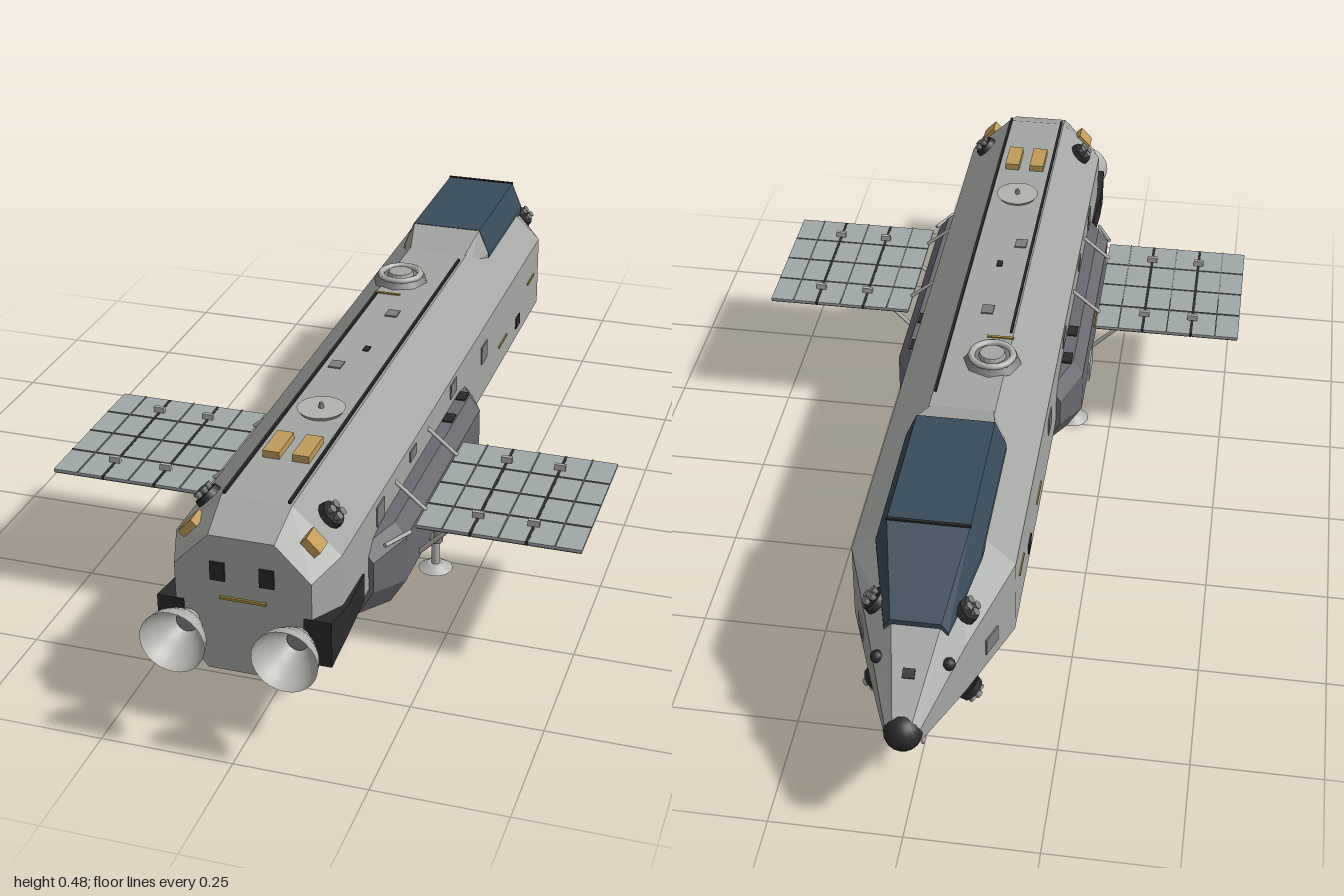
import * as THREE from 'three';

const mat = (name, color, extra = {}) => {
  const m = new THREE.MeshStandardMaterial({ color, ...extra });
  m.name = name;
  return m;
};

export function createModel() {
  const hullGrey = mat('hull grey', 0xa3a6a2, { flatShading: true });
  const bellyDark = mat('belly dark grey', 0x56575a, { flatShading: true });
  const podGrey = mat('pod grey', 0x6a6970, { flatShading: true });
  const glass = mat('canopy blue', 0x394b5a, { flatShading: true });
  const gold = mat('gold foil', 0xc09a58);
  const black = mat('black', 0x2a2a2b);
  const metal = mat('light metal', 0xb2b3ae, { side: THREE.DoubleSide });
  const panelGrey = mat('panel grey', 0x7b7d7d);
  const solar = mat('solar grey', 0xa0a8a8);
  const yellow = mat('yellow marking', 0xa88f35);

  const root = new THREE.Group();
  root.name = 'spacecraft';

  const add = (name, geo, material, pos = [0, 0, 0], rot = [0, 0, 0], parent = root) => {
    const m = new THREE.Mesh(geo, material);
    m.name = name;
    m.position.set(...pos);
    m.rotation.set(...rot);
    parent.add(m);
    return m;
  };
  const box = (name, size, material, pos, rot, parent) =>
    add(name, new THREE.BoxGeometry(...size), material, pos, rot, parent);
  const cyl = (name, r1, r2, h, n, material, pos, rot, parent) =>
    add(name, new THREE.CylinderGeometry(r1, r2, h, n), material, pos, rot, parent);
  const rod = (name, a, b, r, material, parent = root) => {
    const p = new THREE.Vector3(...a), d = new THREE.Vector3(...b).sub(p);
    const m = cyl(name, r, r, d.length(), 8, material, p.clone().addScaledVector(d, 0.5).toArray(), [0, 0, 0], parent);
    m.quaternion.setFromUnitVectors(new THREE.Vector3(0, 1, 0), d.normalize());
    return m;
  };

  // Skin over rings { z, p: [[x, y], ...] }, counter-clockwise, running from +z to -z
  const loft = (name, rings, materials, side = () => 0) => {
    const n = rings[0].p.length, buckets = materials.map(() => []);
    const v = (i, j) => [...rings[i].p[j % n], rings[i].z];
    for (let i = 0; i < rings.length - 1; i++) {
      for (let j = 0; j < n; j++) {
        const a = v(i, j), b = v(i, j + 1), c = v(i + 1, j + 1), d = v(i + 1, j);
        buckets[side(j)].push(...a, ...d, ...c, ...a, ...c, ...b);
      }
    }
    const e = rings.length - 1;
    for (let j = 1; j < n - 1; j++) {
      buckets[0].push(...v(0, 0), ...v(0, j), ...v(0, j + 1));
      buckets[0].push(...v(e, 0), ...v(e, j + 1), ...v(e, j));
    }
    const geo = new THREE.BufferGeometry();
    geo.setAttribute('position', new THREE.Float32BufferAttribute(buckets.flat(), 3));
    let start = 0;
    buckets.forEach((b, i) => { geo.addGroup(start, b.length / 3, i); start += b.length / 3; });
    geo.computeVertexNormals();
    return add(name, geo, materials);
  };
  const mirrorRing = (z, half) => ({ z, p: [...half, ...half.map(([x, y]) => [-x, y]).reverse()] });

  // Hull: eight-sided sections [z, half width, top half, bottom half, top, shoulder, lower, bottom]
  const hullRings = [
    [0.92, 0.125, 0.06, 0.07, 0.412, 0.345, 0.205, 0.14],
    [0.84, 0.153, 0.065, 0.08, 0.445, 0.36, 0.2, 0.125],
    [-0.64, 0.153, 0.065, 0.08, 0.445, 0.36, 0.2, 0.125],
    [-0.82, 0.087, 0.045, 0.05, 0.362, 0.315, 0.205, 0.143],
    [-0.97, 0.032, 0.018, 0.018, 0.27, 0.255, 0.225, 0.21],
  ].map(([z, w, t, b, yt, ys, yl, yb]) => mirrorRing(z, [[b, yb], [w, yl], [w, ys], [t, yt]]));
  loft('hull', hullRings, [hullGrey, bellyDark], (j) => (j === 0 || j >= 6 ? 1 : 0));
  add('noseTip', new THREE.SphereGeometry(0.035, 16, 12), black, [0, 0.24, -0.965]);

  // Raised cockpit: fairing behind, glazed canopy in front
  const hump = (z, w, t, yb, ym, yt) => mirrorRing(z, [[w, yb], [w, ym], [t, yt]]);
  loft('canopyFairing', [hump(-0.3, 0.075, 0.062, 0.4, 0.425, 0.445), hump(-0.375, 0.097, 0.075, 0.4, 0.425, 0.476)], [hullGrey]);
  loft('canopy', [
    hump(-0.375, 0.098, 0.076, 0.41, 0.425, 0.477),
    hump(-0.68, 0.098, 0.076, 0.405, 0.425, 0.477),
    hump(-0.825, 0.058, 0.046, 0.34, 0.352, 0.369),
  ], [glass]);
  box('canopyFrame', [0.154, 0.004, 0.006], black, [0, 0.477, -0.68]);

  // Thruster cluster: dark pad with four little nozzles; local +y points out of the hull
  const thruster = (name, pos, rotZ) => {
    const g = new THREE.Group();
    g.name = name;
    g.position.set(...pos);
    g.rotation.z = rotZ;
    root.add(g);
    cyl('thrusterPad', 0.024, 0.027, 0.014, 12, black, [0, 0.004, 0], [0, 0, 0], g);
    for (let i = 0; i < 4; i++) {
      const a = Math.PI / 4 + i * Math.PI / 2;
      cyl('thrusterNozzle', 0.008, 0.004, 0.014, 8, panelGrey, [0.012 * Math.cos(a), 0.015, 0.012 * Math.sin(a)], [0, 0, 0], g);
    }
  };

  // Main engine bell profile
  const bell = new THREE.LatheGeometry(
    [[0.018, 0], [0.024, 0.02], [0.042, 0.038], [0.055, 0.062], [0.06, 0.085]].map(([r, y]) => new THREE.Vector2(r, y)), 28);

  for (const s of [1, -1]) {
    const up = -s * 0.8, down = -s * 2.36;

    // Engines and their dark side fairings
    add('engineBell', bell, metal, [s * 0.102, 0.236, 0.915], [Math.PI / 2, 0, 0]);
    cyl('engineCore', 0.02, 0.02, 0.02, 16, panelGrey, [s * 0.102, 0.236, 0.922], [Math.PI / 2, 0, 0]);
    const flip = (pts) => (s > 0 ? pts : pts.map(([x, y]) => [-x, y]).reverse());
    const fairing = (z, x, y0, y1) => ({ z, p: flip([[0.11, y0], [x, y0], [x, y1], [0.11, y1]]) });
    loft('engineFairing', [fairing(0.922, 0.16, 0.185, 0.275), fairing(0.83, 0.162, 0.2, 0.258), fairing(0.725, 0.156, 0.2, 0.255)], [black]);

    // Side pod with tapered ends
    const pod = (z, x, k) => ({ z, p: flip([[0.1, 0.13 + k], [x - 0.03, 0.13 + k], [x, 0.18 + k], [x, 0.272 - k], [x - 0.022, 0.302 - k], [0.1, 0.302 - k]]) });
    loft('sidePod', [pod(0.69, 0.162, 0.015), pod(0.61, 0.2, 0), pod(0.08, 0.2, 0), pod(-0.005, 0.162, 0.015)], [podGrey]);
    box('podDoor', [0.006, 0.045, 0.06], metal, [s * 0.201, 0.185, 0.235]);
    const arch = cyl('podDoorArch', 0.03, 0.03, 0.006, 20, metal, [s * 0.201, 0.2, 0.235], [0, 0, Math.PI / 2]);
    arch.scale.x = 0.6;
    box('podStripe', [0.004, 0.005, 0.06], yellow, [s * 0.201, 0.25, 0.32]);
    for (const z of [0.09, 0.19]) box('podVent', [0.02, 0.004, 0.035], black, [s * 0.165, 0.303, z]);

    // Rear handrails on the pod
    rod('podRail', [s * 0.205, 0.28, 0.6], [s * 0.175, 0.28, 0.66], 0.004, metal);

    // Solar wing: three hinged panels with seams and braces
    for (let i = 0; i < 3; i++) {
      const x = s * (0.259 + i * 0.106);
      box('solarPanel', [0.1, 0.005, 0.335], solar, [x, 0.281, 0.412]);
      box('solarBack', [0.098, 0.003, 0.333], bellyDark, [x, 0.277, 0.412]);
      box('solarSeam', [0.0025, 0.002, 0.335], panelGrey, [x, 0.2845, 0.412]);
      for (let k = 1; k < 4; k++) box('solarSeam', [0.1, 0.002, 0.0025], panelGrey, [x, 0.2845, 0.245 + k * 0.0838]);
      if (i < 2) {
        box('solarHinge', [0.006, 0.008, 0.335], black, [x + s * 0.053, 0.28, 0.412]);
        for (const z of [0.3, 0.52]) box('hingeBracket', [0.022, 0.012, 0.008], metal, [x + s * 0.053, 0.29, z]);
      }
    }
    for (const z of [0.3, 0.52]) {
      rod('wingBrace', [s * 0.195, 0.185, z], [s * 0.285, 0.276, z], 0.0045, metal);
      rod('wingBraceUpper', [s * 0.15, 0.335, z], [s * 0.212, 0.283, z], 0.004, metal);
    }

    // Rear landing legs
    cyl('legUpper', 0.015, 0.015, 0.08, 12, panelGrey, [s * 0.163, 0.105, 0.275]);
    cyl('legLower', 0.009, 0.009, 0.08, 12, metal, [s * 0.163, 0.045, 0.275]);
    rod('legBrace', [s * 0.163, 0.055, 0.275], [s * 0.15, 0.135, 0.31], 0.005, metal);
    cyl('footPad', 0.016, 0.035, 0.012, 20, metal, [s * 0.163, 0.008, 0.275]);

    // Underslung tanks
    cyl('bellyTank', 0.011, 0.011, 0.17, 12, metal, [s * 0.118, 0.116, 0.49], [Math.PI / 2, 0, 0]);
    for (const z of [0.43, 0.55]) box('tankBracket', [0.012, 0.045, 0.012], bellyDark, [s * 0.118, 0.14, z]);

    // Thruster clusters
    thruster('rearUpperThruster', [s * 0.112, 0.4, 0.78], up);
    thruster('rearLowerThruster', [s * 0.115, 0.161, 0.78], down);
    thruster('noseUpperThruster', [s * 0.08, 0.357, -0.77], up);
    thruster('noseLowerThruster', [s * 0.085, 0.167, -0.77], down);
    add('noseSensor', new THREE.SphereGeometry(0.012, 10, 8), black, [s * 0.065, 0.31, -0.86]);

    // Gold foil boxes
    box('roofGoldBox', [0.032, 0.018, 0.08], gold, [s * 0.028, 0.45, 0.652]);
    box('shoulderGoldBox', [0.036, 0.016, 0.04], gold, [s * 0.112, 0.395, 0.865], [0, 0, up]);
    box('lowerGoldBox', [0.03, 0.016, 0.035], gold, [s * 0.118, 0.168, 0.865], [0, 0, down]);

    // Roof rails
    const z0 = s > 0 ? -0.26 : -0.04;
    box('roofRail', [0.005, 0.005, 0.86 - z0 - 0.02], black, [s * 0.06, 0.451, (0.84 + z0) / 2]);

    // Hatches and markings on the flank: [z, y, length, height, material]
    for (const [z, y, l, h, m] of [
      [0.62, 0.325, 0.045, 0.04, panelGrey], [0.41, 0.337, 0.04, 0.022, panelGrey],
      [0.12, 0.335, 0.045, 0.03, panelGrey], [-0.13, 0.3, 0.045, 0.04, panelGrey],
      [-0.44, 0.237, 0.035, 0.025, black], [-0.3, 0.25, 0.07, 0.005, yellow],
      [-0.56, 0.29, 0.06, 0.005, yellow],
    ]) box('flankPanel', [0.005, h, l], m, [s * 0.153, y, z]);
    box('nosePanel', [0.005, 0.035, 0.045], panelGrey, [s * 0.121, 0.25, -0.728], [0, s * 0.35, 0]);

    // Rear face windows and nose probes
    box('rearWindow', [0.027, 0.036, 0.006], black, [s * 0.045, 0.343, 0.921]);
    rod('noseProbe', [s * 0.016, 0.112, -0.72], [s * 0.016, 0.112, -0.87], 0.003, metal);
  }
  box('rearSlot', [0.085, 0.005, 0.006], yellow, [0, 0.291, 0.921]);
  box('probeMount', [0.05, 0.03, 0.05], black, [0, 0.122, -0.745]);

  // Nose gear
  cyl('noseLeg', 0.01, 0.01, 0.09, 12, metal, [0, 0.09, -0.615]);
  for (const s of [1, -1]) box('wheelFork', [0.003, 0.035, 0.012], metal, [s * 0.0105, 0.036, -0.615]);
  cyl('noseWheel', 0.021, 0.021, 0.016, 20, black, [0, 0.023, -0.615], [0, 0, Math.PI / 2]);
  cyl('wheelHub', 0.01, 0.01, 0.019, 12, metal, [0, 0.023, -0.615], [0, 0, Math.PI / 2]);

  // Roof: docking hatch, dish and small plates
  cyl('dockingBase', 0.05, 0.06, 0.014, 8, panelGrey, [-0.035, 0.45, -0.135]);
  add('dockingRing', new THREE.TorusGeometry(0.042, 0.007, 8, 24), metal, [-0.035, 0.459, -0.135], [Math.PI / 2, 0, 0]);
  cyl('dockingCap', 0.025, 0.03, 0.014, 16, hullGrey, [-0.035, 0.458, -0.135]);
  cyl('roofDish', 0.046, 0.04, 0.008, 24, metal, [0, 0.45, 0.495]);
  cyl('dishMast', 0.004, 0.006, 0.012, 8, panelGrey, [0, 0.458, 0.495]);
  box('roofStripe', [0.055, 0.003, 0.006], yellow, [-0.04, 0.446, -0.055]);
  for (const [x, z] of [[0, 0.04], [-0.035, 0.3]]) box('roofPlate', [0.025, 0.004, 0.03], panelGrey, [x, 0.446, z]);
  box('roofVent', [0.012, 0.004, 0.02], black, [0, 0.446, 0.215]);
  box('noseVent', [0.022, 0.004, 0.018], black, [0, 0.317, -0.9], [-0.55, 0, 0]);
  return root;
}
